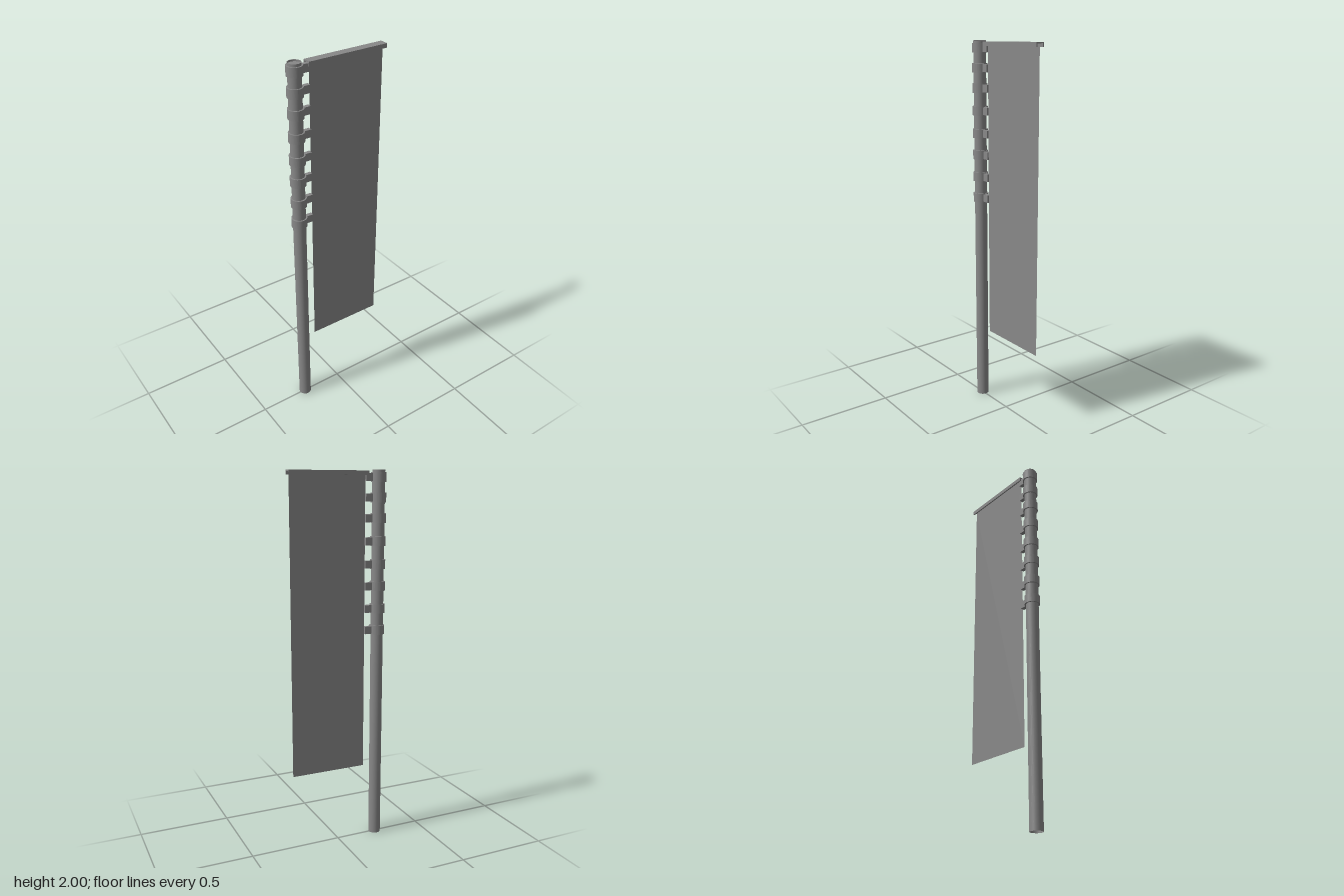
import * as THREE from 'three';

const POLE_X = -0.228, POLE_R = 0.033, LIP_R = 0.03, RING_R = 0.04;

export function createModel() {
  const model = new THREE.Group();
  model.name = 'bannerPole';
  const metal = new THREE.MeshStandardMaterial({ color: 0x888888 });
  const thin = new THREE.MeshStandardMaterial({ color: 0x888888, side: THREE.DoubleSide });

  const add = (name, geometry, x, y, z, material = metal, parent = model) => {
    const mesh = new THREE.Mesh(geometry, material);
    mesh.name = name;
    mesh.position.set(x, y, z);
    parent.add(mesh);
    return mesh;
  };

  // Upright tube, open at the foot, with a shallow recessed cap on top
  add('pole', new THREE.CylinderGeometry(POLE_R, POLE_R, 2, 32, 1, true), POLE_X, 1, -0.001, thin);
  add('poleLip', new THREE.RingGeometry(LIP_R, POLE_R, 32).rotateX(-Math.PI / 2), POLE_X, 2, -0.001, thin);
  add('poleLipWall', new THREE.CylinderGeometry(LIP_R, LIP_R, 0.008, 32, 1, true), POLE_X, 1.996, -0.001, thin);
  add('poleCap', new THREE.CircleGeometry(LIP_R, 32).rotateX(-Math.PI / 2), POLE_X, 1.992, -0.001, thin);

  // Clamp ring: hollow band with square edges
  const bandShape = new THREE.Shape().absarc(0, 0, RING_R, 0, Math.PI * 2);
  bandShape.holes.push(new THREE.Path().absarc(0, 0, POLE_R - 0.001, 0, Math.PI * 2, true));
  const bandGeometry = new THREE.ExtrudeGeometry(bandShape, {
    depth: 0.048, bevelEnabled: false, curveSegments: 32,
  }).rotateX(-Math.PI / 2).translate(0, -0.024, 0);
  const tabGeometry = new THREE.BoxGeometry(0.042, 0.04, 0.022);

  // Clamps with tabs that hold the edge of the banner
  for (const y of [1.963, 1.862, 1.759, 1.642, 1.523, 1.409, 1.29, 1.176]) {
    const clamp = new THREE.Group();
    clamp.name = 'clamp';
    clamp.position.set(POLE_X, y, -0.001);
    add('clampRing', bandGeometry, 0, 0, 0, metal, clamp);
    add('clampTab', tabGeometry, 0.055, 0, -0.001, metal, clamp);
    model.add(clamp);
  }

  // Top rail: channel open underneath, running along x
  const w = 0.0225, h = 0.022, t = 0.006;
  const channel = new THREE.Shape([
    [-w, 0], [-w + t, 0], [-w + t, h - t], [w - t, h - t],
    [w - t, 0], [w, 0], [w, h], [-w, h],
  ].map(([x, y]) => new THREE.Vector2(x, y)));
  const railGeometry = new THREE.ExtrudeGeometry(channel, { depth: 0.434, bevelEnabled: false })
    .rotateY(Math.PI / 2);
  add('topRail', railGeometry, -0.166, 1.973, 0.002);

  // Hanging cloth
  add('banner', new THREE.PlaneGeometry(0.415, 1.578), 0.0545, 1.2, 0, thin);

  return model;
}
